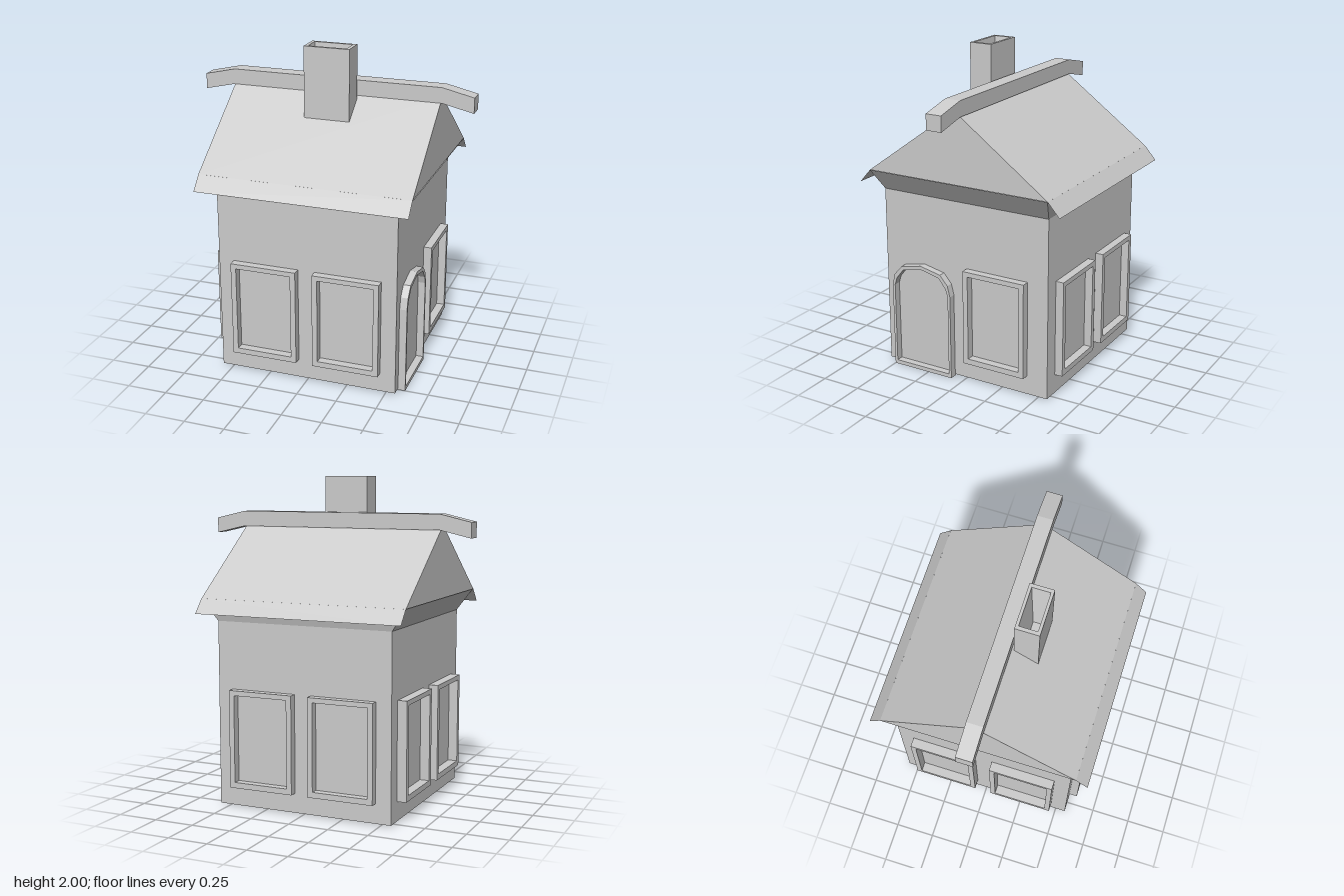
import * as THREE from 'three';

const material = new THREE.MeshStandardMaterial({ color: 0xcccccc, flatShading: true, side: THREE.DoubleSide });

function add(parent, name, geometry, x = 0, y = 0, z = 0) {
  const mesh = new THREE.Mesh(geometry, material);
  mesh.name = name;
  mesh.position.set(x, y, z);
  parent.add(mesh);
  return mesh;
}

// Skin through rectangular rings, each given as [halfWidth, halfDepth, y]
function loft(rings) {
  const corners = [[1, 1], [1, -1], [-1, -1], [-1, 1]];
  const pos = [];
  const point = ([w, d, y], i) => [corners[i % 4][0] * w, y, corners[i % 4][1] * d];
  for (let r = 0; r < rings.length - 1; r++) {
    for (let i = 0; i < 4; i++) {
      const a = point(rings[r], i), b = point(rings[r], i + 1);
      const c = point(rings[r + 1], i + 1), d = point(rings[r + 1], i);
      pos.push(...a, ...b, ...c, ...a, ...c, ...d);
    }
  }
  const geometry = new THREE.BufferGeometry();
  geometry.setAttribute('position', new THREE.Float32BufferAttribute(pos, 3));
  geometry.computeVertexNormals();
  return geometry;
}

const outline = (points) => points.map(([x, y]) => new THREE.Vector2(x, y));

function extrude(points, depth, hole) {
  const shape = new THREE.Shape(outline(points));
  if (hole) shape.holes.push(new THREE.Path(outline(hole)));
  return new THREE.ExtrudeGeometry(shape, { depth, bevelEnabled: false });
}

const rect = (x0, x1, y0, y1) => [[x0, y0], [x1, y0], [x1, y1], [x0, y1]];

// Window frame spanning u0..u1, standing out from the wall to the given distance
function windowFrame(parent, u0, u1, out) {
  const geometry = extrude(rect(u0, u1, 0.13, 0.73), out - 0.55,
    rect(u0 + 0.033, u1 - 0.033, 0.165, 0.7));
  add(parent, 'windowFrame', geometry, 0, 0, 0.55);
}

// Arched outline for the door, half width w, from base to peak
const arch = (w, base, peak) => [
  [-w, base], [w, base], [w, 0.54], [w * 0.92, peak - 0.09], [w * 0.67, peak - 0.03],
  [0, peak], [-w * 0.67, peak - 0.03], [-w * 0.92, peak - 0.09], [-w, 0.54],
];

export function createModel() {
  const house = new THREE.Group();
  house.name = 'house';

  // Walls with a flared top under the roof
  add(house, 'walls', loft([
    [0, 0, 0.01], [0.563, 0.565, 0.01], [0.563, 0.565, 1.14], [0.657, 0.605, 1.275],
  ]), -0.003);

  // Gable roof, extruded along x
  const roof = extrude([[-0.605, 1.275], [0.605, 1.275], [0, 1.714]], 1.314);
  add(house, 'roof', roof, -0.663).rotation.y = Math.PI / 2;

  // Thin drooping eaves, front and back
  for (const s of [1, -1]) {
    const eave = add(house, 'eave', new THREE.PlaneGeometry(1.314, 0.113), -0.006, 1.2325, s * 0.6425);
    eave.rotation.x = -s * Math.atan2(0.075, 0.085);
    if (s < 0) eave.scale.z = -1;
  }

  // Ridge beam with drooping ends
  add(house, 'ridgeBeam', extrude([
    [-0.855, 1.64], [-0.66, 1.685], [0.66, 1.685], [0.855, 1.64],
    [0.855, 1.735], [0.66, 1.78], [-0.66, 1.78], [-0.855, 1.735],
  ], 0.1), 0, 0, -0.05);

  // Chimney with a tapering flue
  add(house, 'chimney', loft([
    [0.142, 0.073, 1.5], [0.142, 0.073, 2], [0.12, 0.055, 2], [0.066, 0.023, 1.65], [0, 0, 1.65],
  ]), 0, 0, 0.135);

  // Each side: turn, and two windows (or one beside the door)
  const sides = [
    ['frontOpenings', 0, 0.617, [[-0.47, -0.055], [0.05, 0.465]]],
    ['rightOpenings', Math.PI / 2, 0.61, [[0.015, 0.43]]],
    ['backOpenings', Math.PI, 0.615, [[-0.465, -0.05], [0.055, 0.47]]],
    ['leftOpenings', -Math.PI / 2, 0.625, [[-0.475, -0.06], [0.05, 0.465]]],
  ];
  for (const [name, turn, out, spans] of sides) {
    const side = new THREE.Group();
    side.name = name;
    side.rotation.y = turn;
    for (const [u0, u1] of spans) windowFrame(side, u0, u1, out);
    if (spans.length === 1) {
      add(side, 'doorFrame', extrude(arch(0.21, 0, 0.7), 0.055, arch(0.193, 0.025, 0.678)), -0.29, 0, 0.55);
    }
    house.add(side);
  }
  return house;
}
